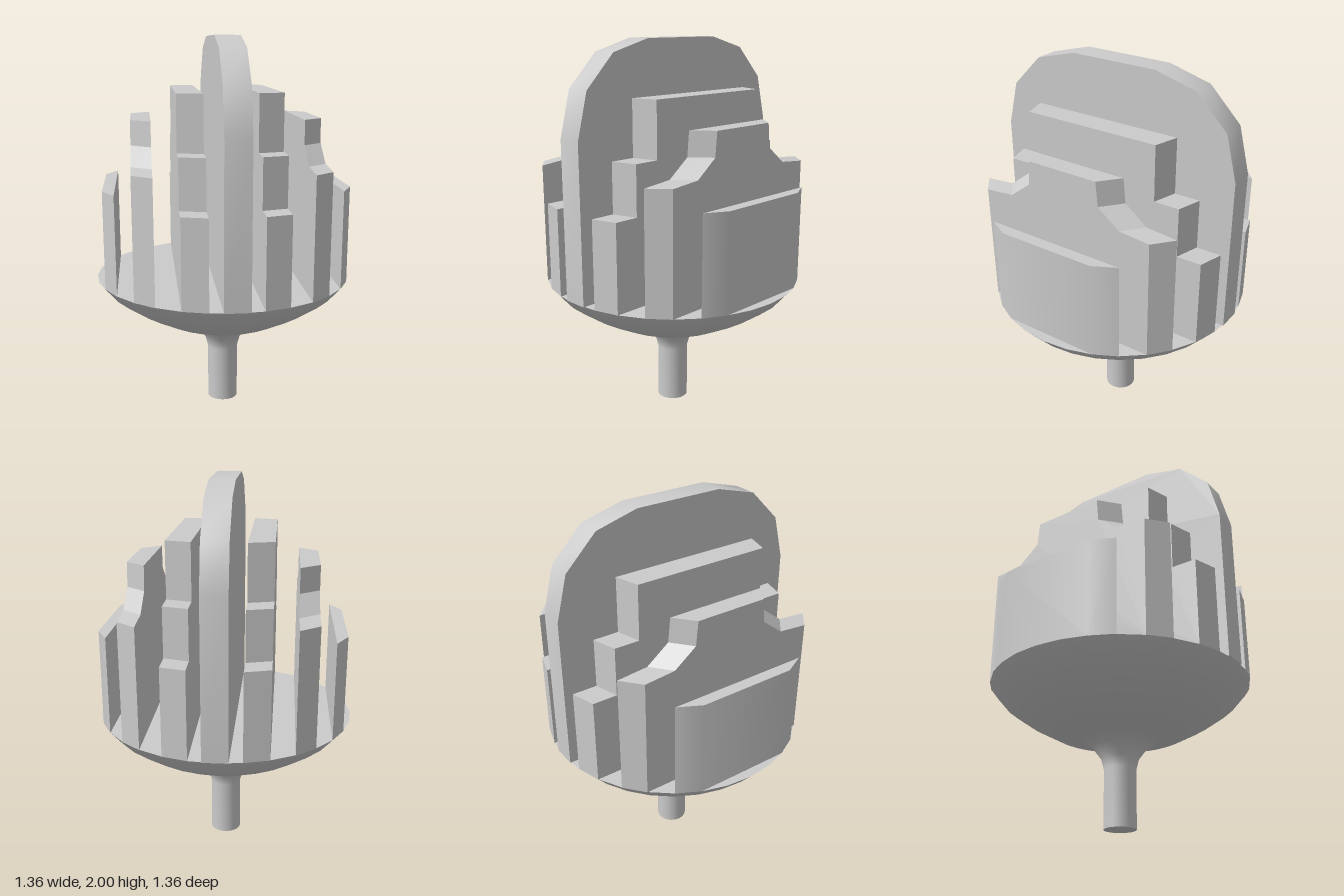
import * as THREE from 'three';
import { toCreasedNormals } from 'three/addons/utils/BufferGeometryUtils.js';

const RIM_Y = 0.735, RIM_R = 0.682, SEGMENTS = 32;
const material = new THREE.MeshStandardMaterial({ color: 0xcccccc });

function addMesh(parent, name, geometry) {
  const mesh = new THREE.Mesh(geometry, material);
  mesh.name = name;
  parent.add(mesh);
  return mesh;
}

// Upright slab between x0 and x1. The profile is half an outline of [z, y] points,
// mirrored front to back; taper draws the ends in on the outer face to follow the rim.
function finGeometry(x0, x1, profile, taper) {
  const half = [[profile[0][0], RIM_Y], ...profile];
  const outline = [...half, ...half.map(([z, y]) => [-z, y]).reverse()];
  const shape = new THREE.Shape(outline.map(([z, y]) => new THREE.Vector2(z, y)));
  const geometry = new THREE.ExtrudeGeometry(shape, { depth: x1 - x0, bevelEnabled: false });
  geometry.rotateY(Math.PI / 2).translate(x0, 0, 0);
  const p = geometry.attributes.position;
  for (let i = 0; i < p.count; i++) {
    const t = (p.getX(i) - x0) / (x1 - x0);
    p.setZ(i, p.getZ(i) - Math.sign(p.getZ(i)) * taper * t);
  }
  return toCreasedNormals(geometry, 0.55);
}

export function createModel() {
  const model = new THREE.Group();
  model.name = 'finnedDish';

  // Stem flaring into a shallow bowl
  const bowl = [
    [0.082, 0], [0.082, 0.3], [0.097, 0.357], [0.14, 0.415], [0.2, 0.45],
    [0.352, 0.495], [0.495, 0.572], [0.615, 0.656], [RIM_R, RIM_Y],
  ].map(([r, y]) => new THREE.Vector2(r, y));
  addMesh(model, 'stemAndBowl', new THREE.LatheGeometry(bowl, SEGMENTS));
  addMesh(model, 'bowlTop', new THREE.CircleGeometry(RIM_R, SEGMENTS).rotateX(-Math.PI / 2))
    .position.y = RIM_Y;
  addMesh(model, 'stemBase', new THREE.CircleGeometry(0.082, SEGMENTS).rotateX(Math.PI / 2));

  // Tall rounded fin in the middle
  const arch = [[0.682, 1.545], [0.622, 1.775], [0.457, 1.94], [0.235, 2]];
  addMesh(model, 'centreFin', finGeometry(-0.065, 0.065, arch, 0));

  // Fins repeated on both sides
  const sideFins = [
    { name: 'SteppedFin', x: [0.133, 0.261], taper: 0.037, profile: [
      [0.669, 1.19], [0.539, 1.19], [0.539, 1.445], [0.405, 1.445], [0.405, 1.73]] },
    { name: 'SlopedFin', x: [0.382, 0.483], taper: 0.084, profile: [
      [0.568, 1.36], [0.405, 1.375], [0.288, 1.465], [0.277, 1.59]] },
    { name: 'OuterFin', x: [0.568, 0.63], taper: 0.119, profile: [[0.38, 1.245]] },
  ];
  for (const { name, x, taper, profile } of sideFins) {
    const geometry = finGeometry(x[0], x[1], profile, taper);
    addMesh(model, 'left' + name, geometry);
    addMesh(model, 'right' + name, geometry).rotation.y = Math.PI;
  }
  return model;
}
